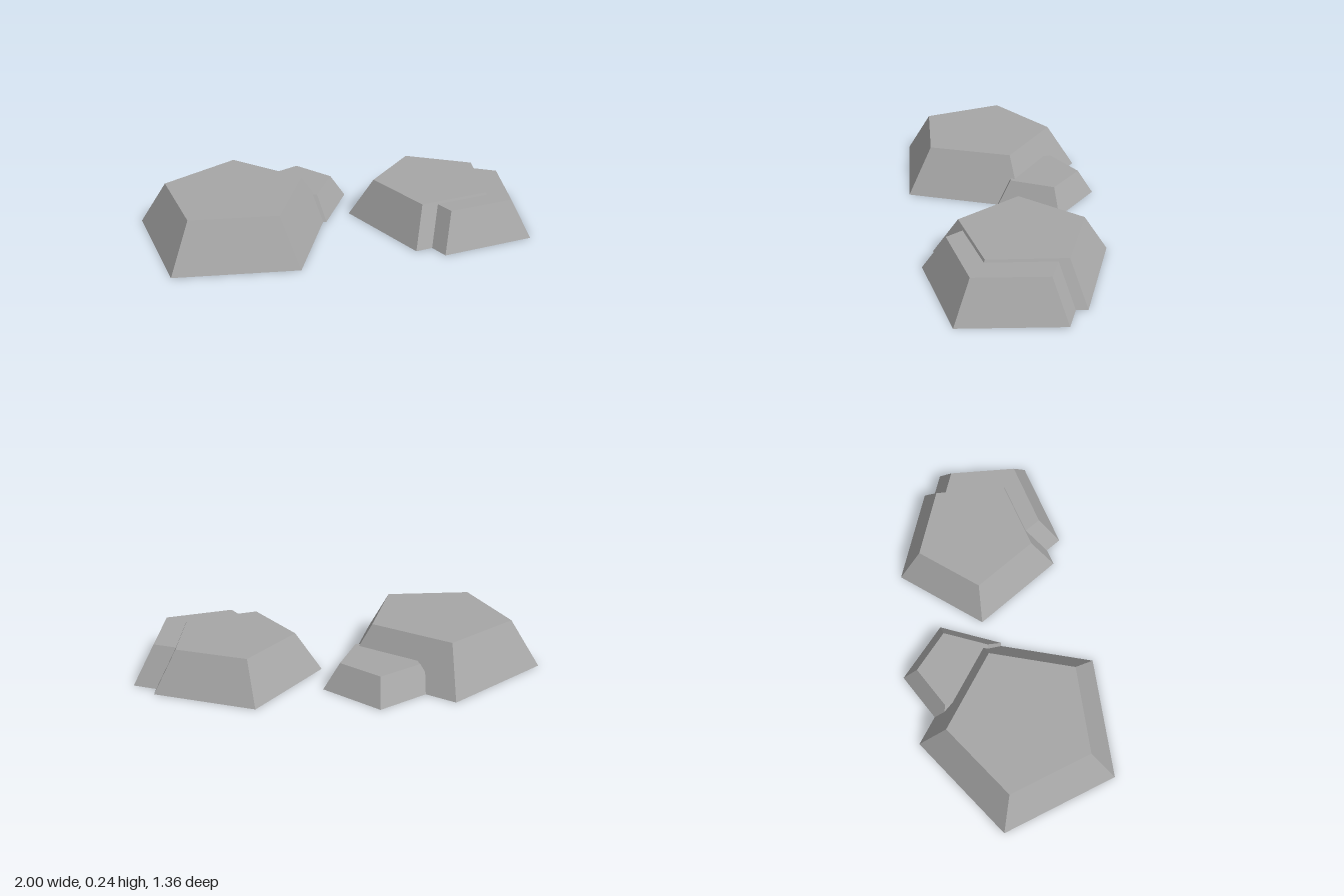
import * as THREE from 'three';

export function createModel() {
  const group = new THREE.Group();
  group.name = 'rocks';
  const stone = new THREE.MeshStandardMaterial({ color: 0xa6a6a6, flatShading: true });
  stone.name = 'stone grey';

  // Each rock is a tapered five-sided block; its proportions follow from its base radius
  const addRock = (name, x, z, radius, turn) => {
    const height = radius * 0.449;
    const geometry = new THREE.CylinderGeometry(radius * 0.706, radius, height, 5, 1, false, turn);
    const rock = new THREE.Mesh(geometry, stone);
    rock.name = name;
    rock.position.set(x, height / 2, z);
    group.add(rock);
  };

  // Right-hand pair: a large rock with a small one behind it
  addRock('largeRock', -0.477, 0.168, 0.524, -0.241);
  addRock('smallRock', -0.277, -0.221, 0.285, -0.338);
  // Left-hand pair: two overlapping rocks of similar size
  addRock('mediumRock', 0.454, -0.319, 0.44, 0.024);
  addRock('lowerRock', 0.605, -0.293, 0.414, 0.012);

  return group;
}
